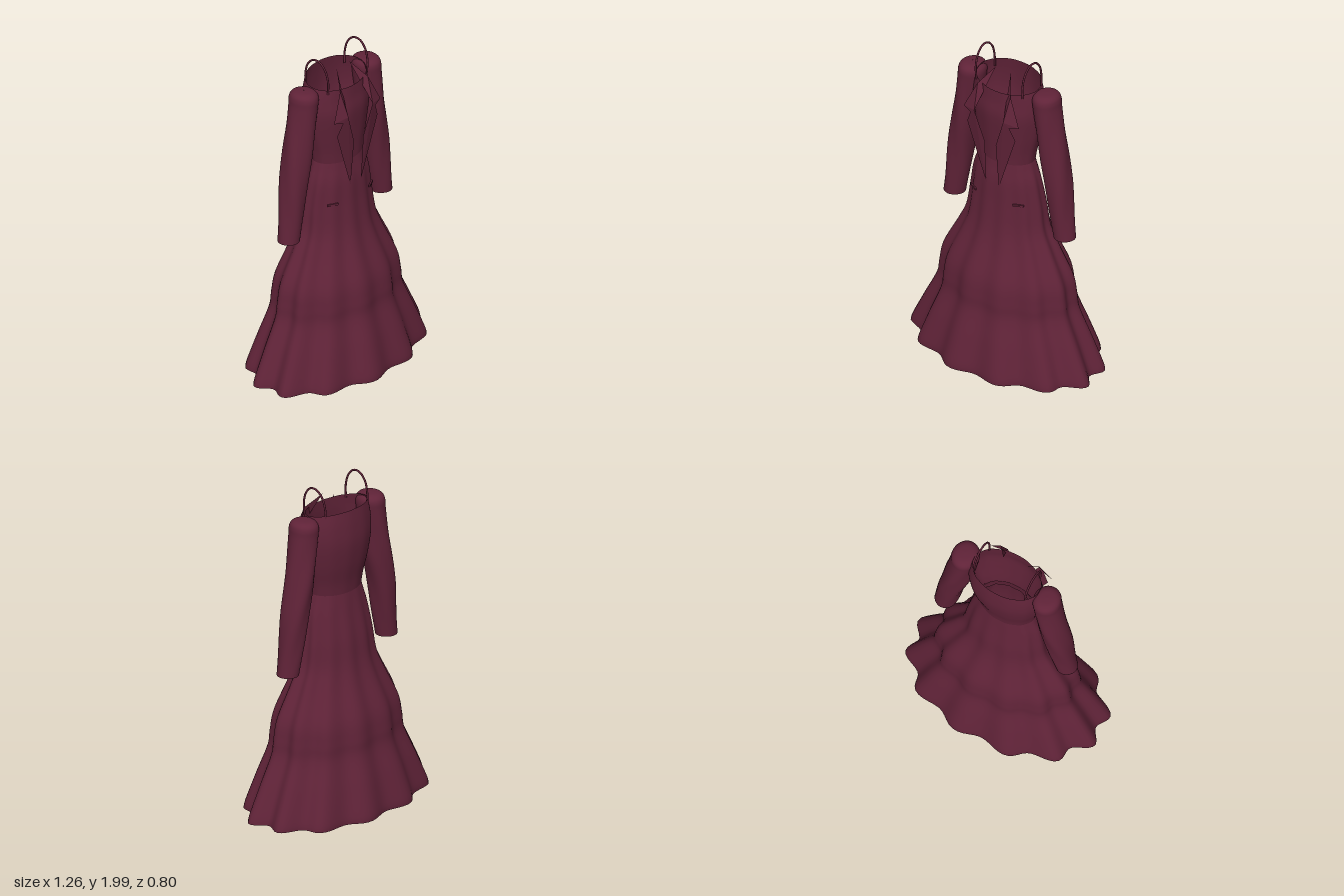
import * as THREE from 'three';

const fabric = new THREE.MeshStandardMaterial({ color: 0x602338, side: THREE.DoubleSide });
fabric.name = 'burgundy fabric';

// Catmull-Rom blend of rows of numbers
function sampleRow(rows, t) {
  const i = Math.min(Math.floor(t), rows.length - 2), f = t - i;
  const at = (k) => rows[Math.max(0, Math.min(rows.length - 1, k))];
  const [p, a, b, n] = [at(i - 1), at(i), at(i + 1), at(i + 2)];
  return a.map((v, k) => v + 0.5 * f * (b[k] - p[k] + f * (2 * p[k] - 5 * v + 4 * b[k] - n[k]
    + f * (3 * (v - b[k]) + n[k] - p[k]))));
}

// Closed elliptical loft, bottom to top. Row: [y, centreX, centreZ, radiusX, radiusZ, ripple, tilt]
function loft(name, rows, wave, steps = 6, sides = 120) {
  const pos = [], index = [], count = (rows.length - 1) * steps;
  for (let r = 0; r <= count; r++) {
    const [y, cx, cz, rx, rz, amp, tilt] = sampleRow(rows, r / steps);
    for (let s = 0; s < sides; s++) {
      const a = (s / sides) * Math.PI * 2;
      const k = 1 + amp * wave(a, y);
      pos.push(cx + rx * k * Math.cos(a), y + tilt * Math.sin(a), cz + rz * k * Math.sin(a));
      if (r === count) continue;
      const p = r * sides + s, q = r * sides + (s + 1) % sides;
      index.push(p, p + sides, q, q, p + sides, q + sides);
    }
  }
  const g = new THREE.BufferGeometry();
  g.setAttribute('position', new THREE.Float32BufferAttribute(pos, 3));
  g.setIndex(index);
  g.computeVertexNormals();
  return part(name, g);
}

function part(name, geometry) {
  const m = new THREE.Mesh(geometry, fabric);
  m.name = name;
  return m;
}

// Flat folded cloth, fanned from the first point
function facets(name, pts) {
  const pos = [];
  for (let i = 1; i < pts.length - 1; i++) pos.push(...pts[0], ...pts[i + 1], ...pts[i]);
  const g = new THREE.BufferGeometry();
  g.setAttribute('position', new THREE.Float32BufferAttribute(pos, 3));
  g.computeVertexNormals();
  return part(name, g);
}

export function createModel() {
  const model = new THREE.Group();
  model.name = 'dress';
  const folds = (a) => Math.cos(12 * (a - 0.19)) + 0.15 * Math.sin(5 * a);

  // Flared skirt with twelve folds
  model.add(loft('skirt', [
    [0.01, 0, 0, 0.605, 0.385, 0.055, 0],
    [0.06, 0, 0, 0.59, 0.38, 0.052, 0],
    [0.22, 0, 0, 0.52, 0.34, 0.045, 0],
    [0.38, 0, 0, 0.448, 0.295, 0.04, 0],
    [0.48, 0, 0, 0.432, 0.287, 0.038, 0],
    [0.6, 0, 0, 0.408, 0.268, 0.036, 0],
    [0.78, 0, 0, 0.32, 0.205, 0.034, 0],
    [0.9, 0, 0, 0.268, 0.175, 0.03, 0],
    [1.05, 0, 0, 0.245, 0.156, 0.025, 0],
    [1.2, 0, 0.008, 0.22, 0.137, 0.018, 0],
    [1.29, 0, 0.008, 0.192, 0.122, 0.01, 0],
    [1.34, 0, 0.008, 0.176, 0.114, 0.005, 0],
  ], folds));

  // Narrower underskirt
  model.add(loft('underskirt', [
    [0.015, 0, 0, 0.41, 0.255, 0.05, 0],
    [0.4, 0, 0, 0.34, 0.215, 0.04, 0],
    [0.85, 0, 0, 0.23, 0.145, 0.03, 0],
    [1.15, 0, 0.005, 0.195, 0.12, 0.02, 0],
    [1.33, 0, 0.008, 0.155, 0.097, 0.02, 0],
  ], folds));

  // Fitted bodice, neckline lower in front
  model.add(loft('bodice', [
    [1.32, 0, 0.008, 0.178, 0.116, 0.005, 0],
    [1.4, 0, 0.005, 0.19, 0.123, 0.006, 0],
    [1.52, 0, -0.002, 0.216, 0.14, 0.006, 0],
    [1.65, 0, -0.005, 0.234, 0.153, 0.006, 0],
    [1.75, 0, -0.008, 0.23, 0.147, 0.005, -0.01],
    [1.835, 0, -0.005, 0.212, 0.14, 0.004, -0.022],
  ], folds));

  for (const side of [1, -1]) {
    const half = new THREE.Group();
    half.name = side > 0 ? 'leftSide' : 'rightSide';
    half.scale.x = side;
    model.add(half);

    // Sleeve with spiral wrinkles and rounded shoulder
    half.add(loft('sleeve', [
      [0.905, 0.4, -0.01, 0.065, 0.065, 0.01, 0],
      [1.05, 0.378, -0.012, 0.07, 0.072, 0.035, 0],
      [1.25, 0.352, -0.016, 0.076, 0.083, 0.045, 0],
      [1.45, 0.316, -0.016, 0.082, 0.09, 0.045, 0],
      [1.62, 0.29, -0.012, 0.081, 0.09, 0.03, 0],
      [1.74, 0.274, -0.01, 0.08, 0.09, 0.012, 0],
      [1.79, 0.27, -0.01, 0.08, 0.09, 0.005, 0],
      [1.817, 0.27, -0.01, 0.07, 0.078, 0, 0],
      [1.832, 0.27, -0.01, 0.045, 0.05, 0, 0],
      [1.836, 0.27, -0.01, 0.001, 0.001, 0, 0],
    ], (a, y) => Math.sin(4 * a + 9 * y), 6, 40));
    const cuff = part('cuffEnd', new THREE.CircleGeometry(0.065, 40));
    cuff.rotation.x = Math.PI / 2;
    cuff.position.set(0.4, 0.906, -0.01);
    half.add(cuff);

    // Notched lapel with a pointed collar
    half.add(facets('lapel', [
      [0.105, 1.66, 0.185], [0.055, 1.91, 0.05], [0.12, 1.815, 0.135], [0.2, 1.645, 0.16],
      [0.14, 1.63, 0.175], [0.175, 1.55, 0.16], [0.045, 1.175, 0.148], [0.04, 1.47, 0.17],
    ]));

    // Shoulder strap loop
    const loop = [[1.8, 0.085], [1.88, 0.088], [1.945, 0.07], [1.985, 0.036], [1.994, 0.005],
      [1.985, -0.03], [1.945, -0.066], [1.88, -0.084], [1.8, -0.085]];
    const path = new THREE.CatmullRomCurve3(loop.map(([y, z]) =>
      new THREE.Vector3(0.168 + (y - 1.8) * 0.03, y, z)));
    half.add(part('strap', new THREE.TubeGeometry(path, 48, 0.006, 8)));

    // Pocket welt lying on the skirt
    const pocket = part('pocketWelt', new THREE.BoxGeometry(0.065, 0.012, 0.009));
    pocket.position.set(0.163, 1.083, 0.119);
    pocket.rotation.y = 0.48;
    half.add(pocket);
  }
  return model;
}
